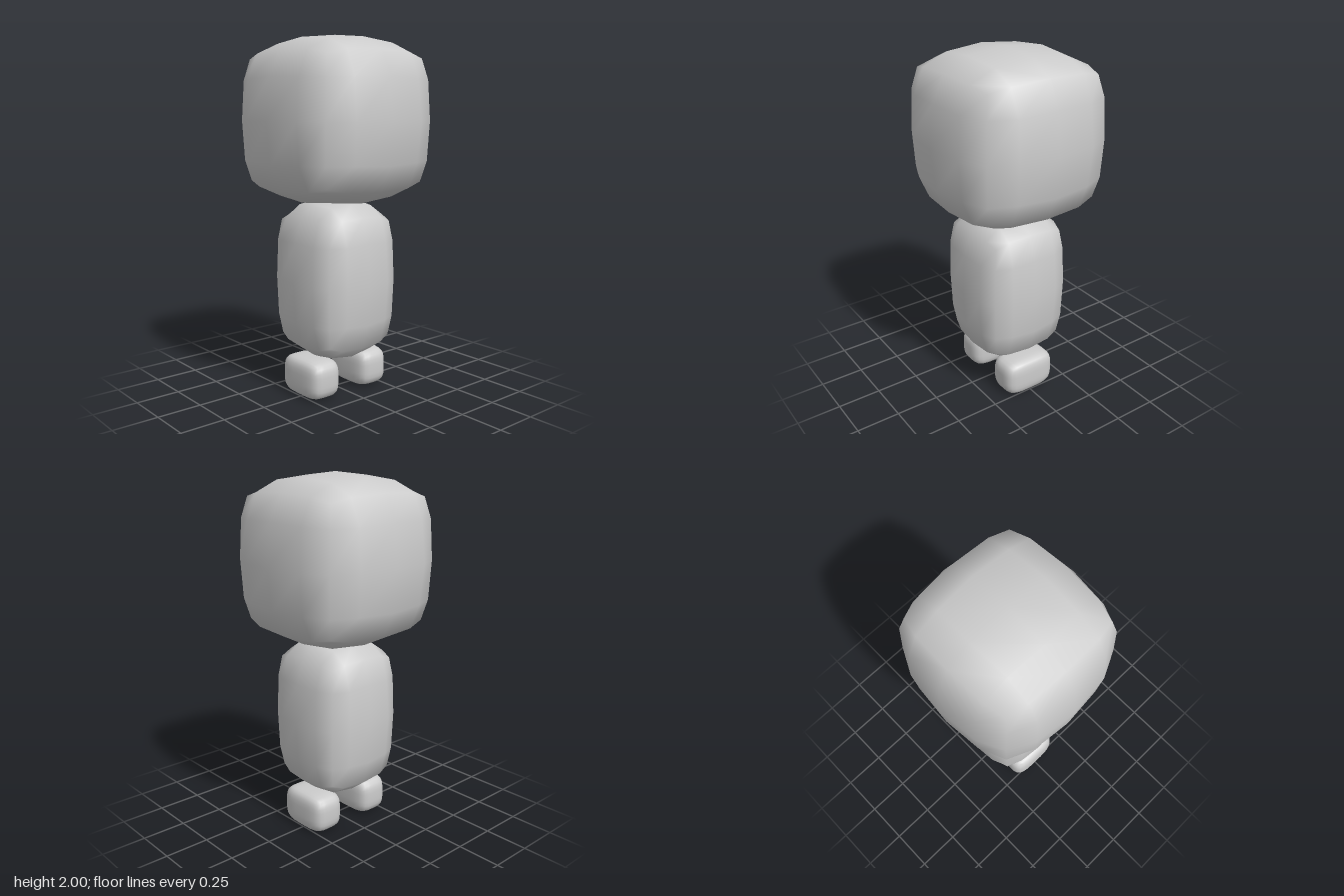
import * as THREE from 'three';
import { mergeVertices } from 'three/addons/utils/BufferGeometryUtils.js';

const material = new THREE.MeshStandardMaterial({ color: 0xcccccc });

// A cube of half size 1 whose vertices are moved by a rule, then smooth-shaded
function softCube(segments, rule) {
  let geo = new THREE.BoxGeometry(2, 2, 2, segments, segments, segments);
  geo.deleteAttribute('uv');
  geo.deleteAttribute('normal');
  geo = mergeVertices(geo, 1e-4);
  const pos = geo.attributes.position;
  const v = new THREE.Vector3();
  for (let i = 0; i < pos.count; i++) {
    rule(v.fromBufferAttribute(pos, i));
    pos.setXYZ(i, v.x, v.y, v.z);
  }
  return geo;
}

// Coarse pillow: [inner, outer] coordinate by how many of the other axes are at a half step / full step
function pillow(v) {
  const a = v.toArray().map((c) => Math.round(Math.abs(c) * 2)); // 0, 1 or 2 grid steps
  const full = a.filter((s) => s === 2).length;
  const half = a.filter((s) => s === 1).length;
  const outer = full === 3 ? 0.72 : full === 2 ? [0.796, 0.775][half] : [1, 0.946, 0.905][half];
  const inner = full === 2 ? 0.475 : [0, 0.495, 0.475][half];
  v.fromArray(v.toArray().map((c, i) => Math.sign(c) * (a[i] === 2 ? outer : a[i] === 1 ? inner : 0)));
}

// Finer, boxier superellipsoid
function roundedBlock(v) {
  const p = 4;
  const n = Math.abs(v.x) ** p + Math.abs(v.y) ** p + Math.abs(v.z) ** p;
  v.multiplyScalar(n ** (-1 / p));
}

function part(name, unit, centre, halfSize) {
  const geo = unit.clone().scale(...halfSize);
  geo.computeVertexNormals();
  const mesh = new THREE.Mesh(geo, material);
  mesh.name = name;
  mesh.position.set(...centre);
  return mesh;
}

export function createModel() {
  const model = new THREE.Group();
  model.name = 'figure';
  const coarse = softCube(4, pillow);
  const fine = softCube(8, roundedBlock);

  model.add(part('head', coarse, [0, 1.535, 0], [0.465, 0.465, 0.465]));
  model.add(part('body', coarse, [0, 0.65, 0], [0.297, 0.46, 0.297]));

  // Mirrored feet
  for (const [name, side] of [['leftFoot', 1], ['rightFoot', -1]]) {
    model.add(part(name, fine, [side * 0.175, 0.11, 0], [0.102, 0.11, 0.163]));
  }
  return model;
}
